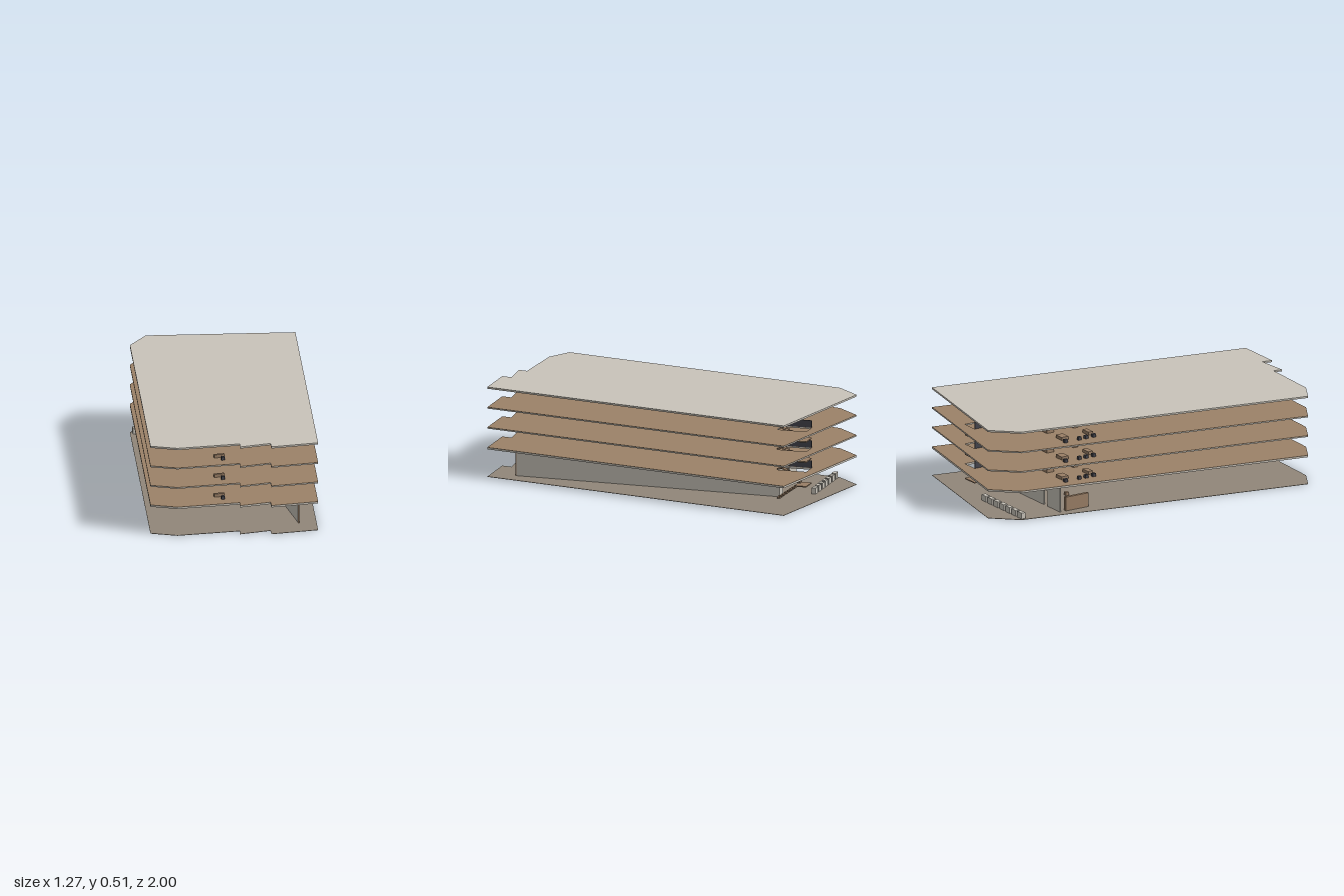
import * as THREE from 'three';

const mat = (name, color) => {
  const m = new THREE.MeshStandardMaterial({ color });
  m.name = name;
  return m;
};

export function createModel() {
  const beige = mat('beige plaster', 0xc9c4ba);
  const wood = mat('wood floor', 0x9c8268);
  const taupe = mat('taupe ground', 0x91877a);
  const dark = mat('dark grey', 0x45454d);
  const brown = mat('brown wood', 0x9a7f66);
  const model = new THREE.Group();
  model.name = 'building';

  const add = (parent, name, geo, material) => {
    const mesh = new THREE.Mesh(geo, material);
    mesh.name = name;
    parent.add(mesh);
    return mesh;
  };
  // box given by its limits on each axis
  const box = (parent, name, material, x0, x1, y0, y1, z0, z1) => {
    const g = new THREE.BoxGeometry(x1 - x0, y1 - y0, z1 - z0);
    g.translate((x0 + x1) / 2, (y0 + y1) / 2, (z0 + z1) / 2);
    return add(parent, name, g, material);
  };

  // shared floor outline in x, z
  const outline = [
    [-0.18, -1], [0.635, -0.84], [0.277, 1], [0.01, 1], [0.02, 0.943],
    [-0.158, 0.957], [-0.147, 0.907], [-0.5, 0.892], [-0.635, 0.818], [-0.307, -0.862],
  ];
  const stair = { x0: 0.18, xm: 0.228, x1: 0.277, z0: -0.685, zm: -0.8, z1: -0.855 };
  const plate = (top, bottom, hole) => {
    const shape = new THREE.Shape(outline.map(([x, z]) => new THREE.Vector2(x, z)));
    if (hole) {
      const { x0, x1, z0, z1 } = stair;
      shape.holes.push(new THREE.Path([[x0, z0], [x1, z0], [x1, z1], [x0, z1]]
        .map(([x, z]) => new THREE.Vector2(x, z))));
    }
    const g = new THREE.ExtrudeGeometry(shape, { depth: top - bottom, bevelEnabled: false });
    g.rotateX(Math.PI / 2);
    g.translate(0, top, 0);
    return g;
  };

  // ground plate, slabs and roof
  add(model, 'ground', plate(0.002, 0, false), taupe);
  const floors = [[0.157, 0.168], [0.275, 0.283], [0.389, 0.397]];
  floors.forEach(([y0, y1], i) => {
    add(model, `slab${i + 1}`, plate(y1 - 0.001, y0, true), beige);
    add(model, `woodFloor${i + 1}`, plate(y1, y1 - 0.001, true), wood);
  });
  add(model, 'roof', plate(0.512, 0.502, false), beige);

  // ground floor walls
  const walls = new THREE.Group();
  walls.name = 'groundWalls';
  model.add(walls);
  const H = 0.157;
  const side = add(walls, 'longSideWall', new THREE.BoxGeometry(0.007, H, 1.54), beige);
  side.position.set(0.215, H / 2, 0.085);
  side.rotation.y = -Math.atan2(-0.02, 1.54) * -1;
  box(walls, 'wallEndCap', brown, 0.2, 0.209, 0, H, 0.853, 0.859);
  box(walls, 'backWallLeft', beige, -0.31, -0.185, 0, H, -0.609, -0.602);
  box(walls, 'backWallRight', beige, -0.145, 0.178, 0, H, -0.609, -0.602);
  box(walls, 'backWallLintel', beige, -0.185, -0.145, 0.09, H, -0.609, -0.602);
  box(walls, 'returnWall', beige, 0.172, 0.178, 0, H, -0.685, -0.609);
  box(walls, 'stairWall', beige, 0.178, 0.228, 0, H, -0.685, -0.678);
  box(walls, 'stairDoorLintel', beige, 0.228, 0.277, 0.086, H, -0.685, -0.678);
  box(walls, 'stairDoorFrame', brown, 0.228, 0.277, 0.082, 0.086, -0.685, -0.677);

  // stairs: two flights and a landing per storey
  const steps = 8;
  const tops = [0.002, ...floors.map((f) => f[1])];
  for (let s = 0; s < 3; s++) {
    const flight = new THREE.Group();
    flight.name = `stair${s + 1}`;
    model.add(flight);
    const rise = (tops[s + 1] - tops[s]) / (2 * steps);
    const run = (stair.z0 - stair.zm) / steps;
    const mid = tops[s] + rise * steps;
    for (let i = 0; i < steps; i++) {
      const zA = stair.z0 - i * run;
      const yA = tops[s] + (i + 1) * rise;
      box(flight, 'lowerStep', brown, stair.xm, stair.x1, yA - rise * 0.85, yA, zA - run * 1.1, zA);
      const zB = stair.zm + i * run;
      const yB = mid + (i + 1) * rise;
      box(flight, 'upperStep', brown, stair.x0, stair.xm - 0.006, yB - rise * 0.85, yB, zB, zB + run * 1.1);
    }
    box(flight, 'landing', brown, stair.x0, stair.x1, mid - 0.006, mid, stair.z1, stair.zm);
  }

  // furniture and stair guards on the upper floors
  floors.forEach(([, y], i) => {
    const set = new THREE.Group();
    set.name = `furniture${i + 1}`;
    set.position.y = y;
    model.add(set);
    box(set, 'stairGuard', dark, 0.175, 0.179, 0, 0.041, stair.z1, stair.z0);
    box(set, 'frontDesk', brown, -0.26, -0.2, 0, 0.018, 0.765, 0.782);
    box(set, 'frontChair', dark, -0.23, -0.211, 0, 0.018, 0.812, 0.83);
    for (const z of [-0.38, -0.43, -0.475, -0.565]) {
      box(set, 'chair', dark, -0.308, -0.29, 0, 0.018, z - 0.01, z + 0.01);
    }
    for (const x of [-0.23, -0.08, 0.07]) {
      box(set, 'desk', brown, x - 0.03, x + 0.03, 0, 0.018, -0.39, -0.36);
      box(set, 'desk', brown, x - 0.03, x + 0.03, 0, 0.018, -0.565, -0.52);
    }
  });

  // ground floor furniture
  const lobby = new THREE.Group();
  lobby.name = 'lobbyFurniture';
  model.add(lobby);
  box(lobby, 'cabinet', brown, -0.31, -0.292, 0, 0.082, -0.57, -0.42);
  box(lobby, 'counter', brown, -0.285, -0.26, 0, 0.04, -0.55, -0.42);
  box(lobby, 'sideTable', brown, 0.153, 0.175, 0, 0.04, -0.52, -0.42);
  for (const x of [-0.175, -0.07, 0.04]) {
    box(lobby, 'lowTable', brown, x - 0.01, x + 0.01, 0, 0.02, -0.42, -0.4);
  }

  // row of blocks behind the building
  for (let i = 0; i < 7; i++) {
    const x = -0.275 + i * 0.06;
    box(model, 'yardBlock', beige, x - 0.022, x + 0.022, 0, 0.036, -0.855, -0.83);
  }
  return model;
}
